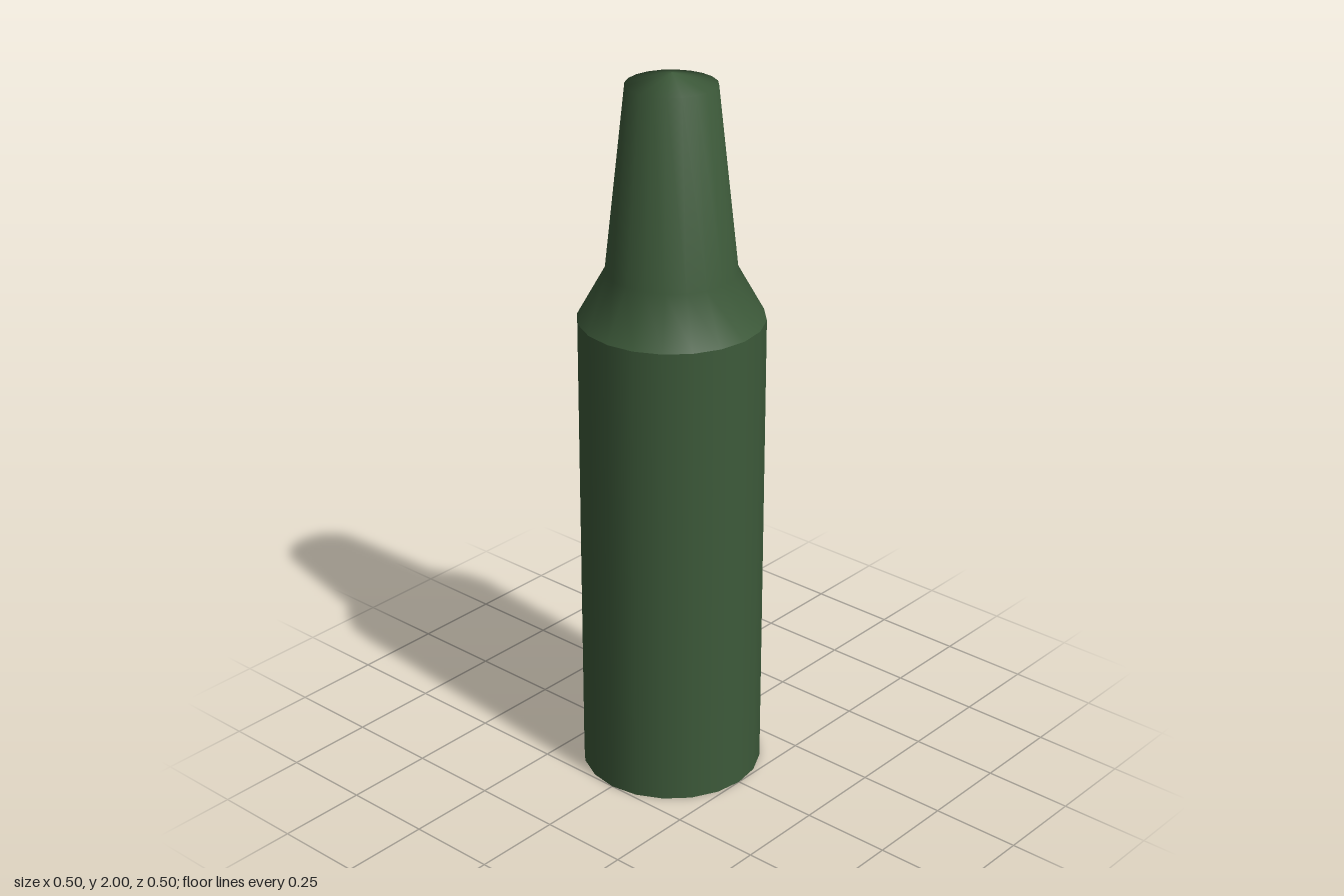
import * as THREE from 'three';

const SIDES = 20;
const BODY_RADIUS = 0.25;
const BODY_HEIGHT = 1.335;

export function createModel() {
  const group = new THREE.Group();
  group.name = 'bottle';
  const glass = new THREE.MeshStandardMaterial({ color: 0x3d5a3a });

  // Straight cylindrical body with a flat base
  const body = new THREE.Mesh(
    new THREE.CylinderGeometry(BODY_RADIUS, BODY_RADIUS, BODY_HEIGHT, SIDES),
    glass
  );
  body.name = 'body';
  body.position.y = BODY_HEIGHT / 2;
  group.add(body);

  // Sloping shoulder, tapered neck and shallow pointed top, smoothly shaded as one
  const profile = [
    [BODY_RADIUS, BODY_HEIGHT],
    [0.175, 1.47],
    [0.12, 1.97],
    [0, 2],
  ].map(([r, y]) => new THREE.Vector2(r, y));
  const neck = new THREE.Mesh(new THREE.LatheGeometry(profile, SIDES), glass);
  neck.name = 'shoulderAndNeck';
  group.add(neck);

  return group;
}
